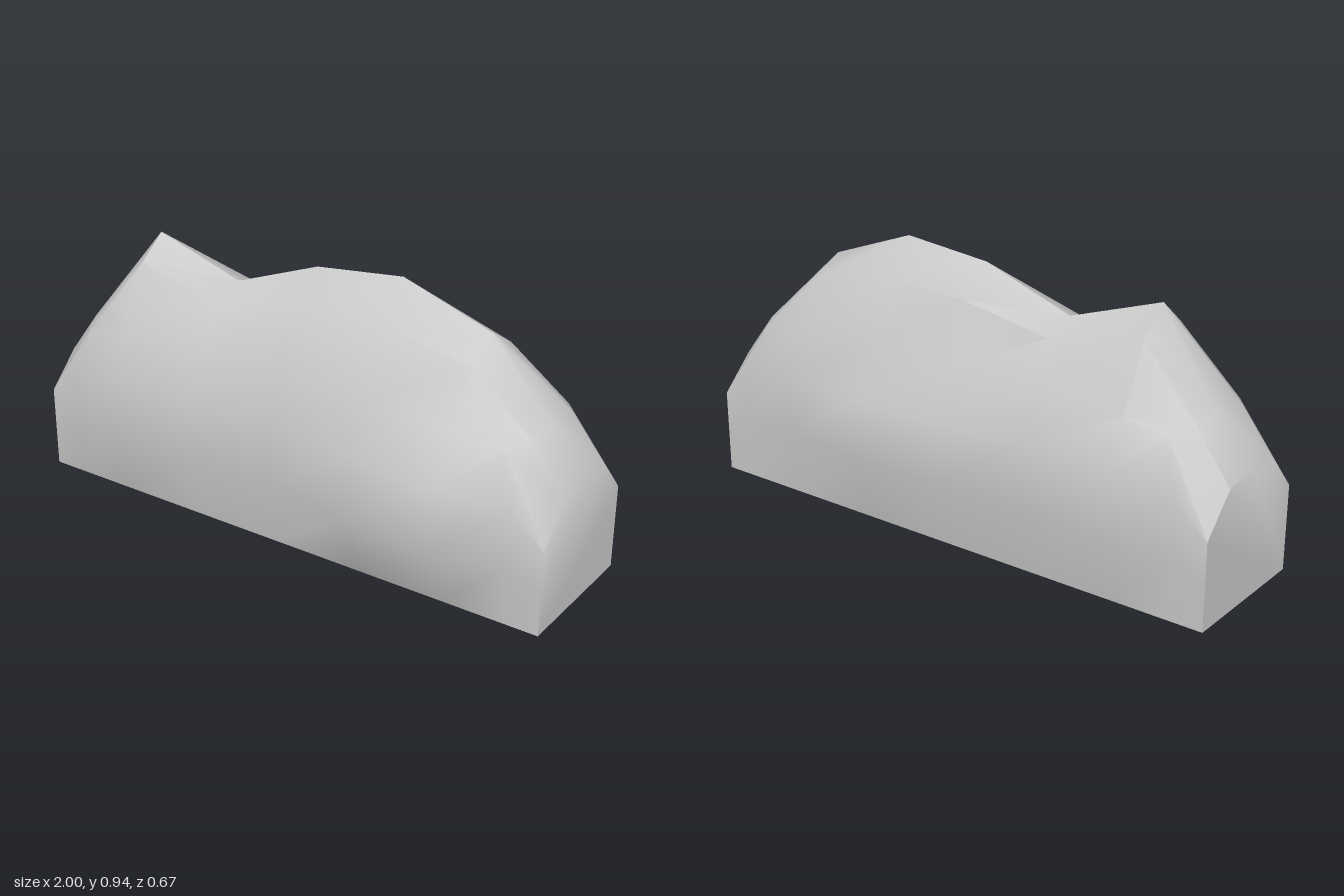
import * as THREE from 'three';
import { toCreasedNormals } from 'three/addons/utils/BufferGeometryUtils.js';

// One cross-section of the rock, listed up the front, over the ridge and down the back.
// front / back: [z, y] rows from low bulge to upper slope; bow pulls the flanks in along x.
function section(x, front, ridge, back, bow = 0) {
  const rows = [[0.22, 0], ...front, ridge, ...[...back].reverse(), [-0.29, 0]];
  return rows.map(([z, y], i) => new THREE.Vector3(x - (i === 3 || i === 7 ? bow : 0), y, z));
}

// The blunt ends and the shoulders next to them are the same on both sides.
const endSection = (s) => section(s,
  [[0.22, 0.15], [0.22, 0.295], [0.22, 0.295], [0.1, 0.42]], [-0.035, 0.435],
  [[-0.29, 0.15], [-0.29, 0.295], [-0.29, 0.295], [-0.17, 0.42]]);
const shoulderSection = (s) => section(s * 0.88,
  [[0.24, 0.2], [0.22, 0.4], [0.18, 0.56], [0.1, 0.575]], [-0.035, 0.58],
  [[-0.295, 0.2], [-0.285, 0.4], [-0.24, 0.56], [-0.16, 0.575]], s * 0.05);

function rockGeometry() {
  const rings = [
    endSection(-1),
    shoulderSection(-1),
    section(-0.67, [[0.27, 0.22], [0.25, 0.435], [0.18, 0.59], [0.07, 0.81]], [-0.035, 0.895],
      [[-0.335, 0.22], [-0.325, 0.435], [-0.24, 0.59], [-0.14, 0.81]]),
    section(-0.33, [[0.27, 0.22], [0.24, 0.435], [0.18, 0.59], [0.08, 0.74]], [-0.035, 0.785],
      [[-0.305, 0.22], [-0.3, 0.435], [-0.23, 0.59], [-0.15, 0.74]]),
    section(0, [[0.22, 0.22], [0.22, 0.435], [0.18, 0.59], [0.09, 0.8]], [-0.035, 0.905],
      [[-0.33, 0.22], [-0.32, 0.435], [-0.19, 0.59], [-0.15, 0.8]]),
    section(0.33, [[0.3, 0.22], [0.27, 0.435], [0.19, 0.59], [0.095, 0.82]], [-0.035, 0.94],
      [[-0.33, 0.22], [-0.33, 0.435], [-0.2, 0.59], [-0.16, 0.82]]),
    section(0.66, [[0.335, 0.22], [0.305, 0.435], [0.19, 0.585], [0.09, 0.76]], [-0.035, 0.825],
      [[-0.29, 0.22], [-0.29, 0.435], [-0.25, 0.585], [-0.15, 0.76]]),
    shoulderSection(1),
    endSection(1),
  ];
  const n = rings[0].length;
  const last = rings.length - 1;
  const index = [];
  const tri = (a, b, c) => index.push(a, b, c);

  // Skin between neighbouring sections, underside included
  for (let s = 0; s < last; s++) {
    for (let i = 0; i < n; i++) {
      const j = (i + 1) % n;
      const a = s * n + i, b = (s + 1) * n + i, c = (s + 1) * n + j, d = s * n + j;
      tri(a, b, c);
      tri(a, c, d);
    }
  }
  // Flat ends, skipping the doubled corner points
  for (let i = 1; i < n - 1; i++) {
    if (i === 2 || i === 7) continue;
    tri(0, i, i + 1);
    tri(last * n, last * n + i + 1, last * n + i);
  }

  const geometry = new THREE.BufferGeometry().setFromPoints(rings.flat());
  geometry.setIndex(index);
  return toCreasedNormals(geometry, THREE.MathUtils.degToRad(48));
}

export function createModel() {
  const group = new THREE.Group();
  group.name = 'rockFormation';
  const rock = new THREE.Mesh(rockGeometry(), new THREE.MeshStandardMaterial({ color: 0xcccccc }));
  rock.name = 'rock';
  group.add(rock);
  return group;
}
